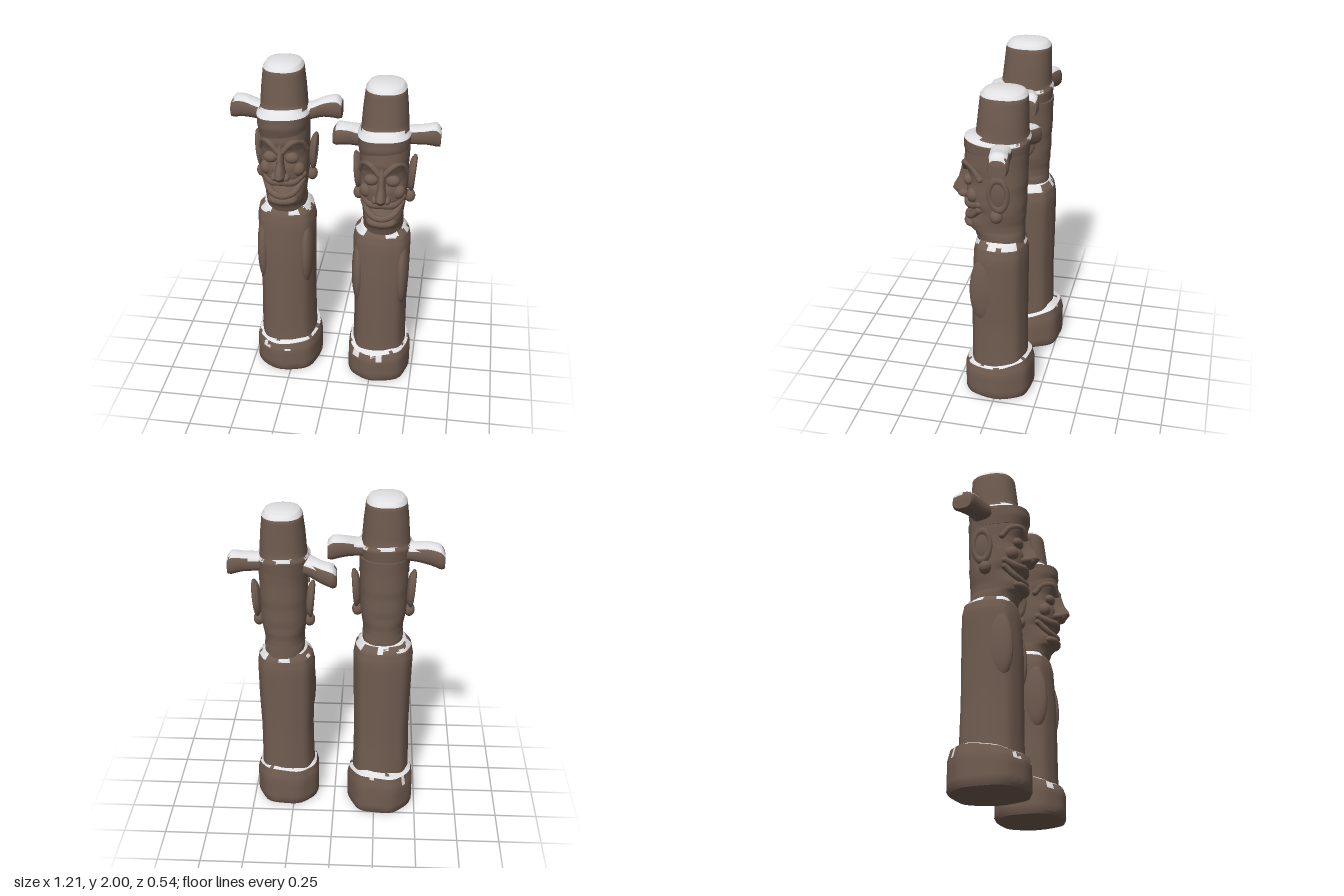
import * as THREE from 'three';
import { toCreasedNormals } from 'three/addons/utils/BufferGeometryUtils.js';

const wood = new THREE.MeshStandardMaterial({ color: 0x705c50 });
wood.name = 'brown wood';
const snow = new THREE.MeshStandardMaterial({ color: 0xe2e2e4 });
snow.name = 'white snow';

// Skin between closed rings of points, capped at both ends
function loft(rings) {
  const n = rings[0].length, pos = [], idx = [];
  rings.forEach(r => r.forEach(p => pos.push(p.x, p.y, p.z)));
  for (let i = 0; i < rings.length - 1; i++) for (let j = 0; j < n; j++) {
    const a = i * n + j, b = i * n + (j + 1) % n;
    idx.push(a, b, b + n, a, b + n, a + n);
  }
  [0, rings.length - 1].forEach((k, end) => {
    const c = new THREE.Vector3();
    rings[k].forEach(p => c.addScaledVector(p, 1 / n));
    const ci = pos.length / 3;
    pos.push(c.x, c.y, c.z);
    for (let j = 0; j < n; j++) {
      const a = k * n + j, b = k * n + (j + 1) % n;
      if (end) idx.push(ci, a, b); else idx.push(ci, b, a);
    }
  });
  const g = new THREE.BufferGeometry();
  g.setAttribute('position', new THREE.Float32BufferAttribute(pos, 3));
  g.setIndex(idx);
  return toCreasedNormals(g, 0.85);
}

const spow = (v, p) => Math.sign(v) * Math.abs(v) ** p;

// Upright column; rows are [y, half width, back z, front z], warp moves each point
function column(rows, { n = 44, sub = 4, p = 0.85, warp = () => {} } = {}) {
  const rings = [];
  rows.forEach((r, i) => {
    const next = rows[i + 1];
    for (let s = 0; s < (next ? sub : 1); s++) {
      const [y, hw, zb, zf] = r.map((v, k) => next ? v + (next[k] - v) * s / sub : v);
      rings.push(Array.from({ length: n }, (_, j) => {
        const a = j / n * Math.PI * 2;
        const q = new THREE.Vector3(hw * spow(Math.sin(a), p), y,
          (zb + zf) / 2 + (zf - zb) / 2 * spow(Math.cos(a), p));
        warp(q, a);
        return q;
      }));
    }
  });
  return loft(rings);
}

// Horizontal beam from low x to high x; rows are [x, centre y, centre z, half height, half depth]
function beam(rows) {
  const path = new THREE.CatmullRomCurve3(rows.map(r => new THREE.Vector3(r[0], r[1], r[2])));
  const size = new THREE.CatmullRomCurve3(rows.map(r => new THREE.Vector3(r[3], r[4], 0)));
  return loft(Array.from({ length: 13 }, (_, i) => {
    const c = path.getPoint(i / 12), s = size.getPoint(i / 12);
    return Array.from({ length: 20 }, (_, j) => {
      const a = j / 20 * Math.PI * 2;
      return new THREE.Vector3(c.x, c.y + s.x * spow(Math.cos(a), 0.75), c.z + s.y * spow(Math.sin(a), 0.75));
    });
  }));
}

// Upward faces become snow, with ragged patches
function snowy(g, limit, rough) {
  const P = g.attributes.position, N = g.attributes.normal, lists = [[], []];
  const v = [0, 1, 2].map(() => new THREE.Vector3()), nrm = new THREE.Vector3();
  for (let i = 0; i < P.count; i += 3) {
    v.forEach((q, k) => q.fromBufferAttribute(P, i + k));
    new THREE.Triangle(...v).getNormal(nrm);
    const { x, z } = v[0];
    const noise = Math.sin(x * 37 + z * 19 + 1) * 0.6 + Math.sin(z * 53 - x * 23) * 0.4;
    lists[nrm.y > limit + rough * noise ? 1 : 0].push(i, i + 1, i + 2);
  }
  const out = new THREE.BufferGeometry(), order = lists.flat();
  [['position', P], ['normal', N]].forEach(([name, attr]) => out.setAttribute(name,
    new THREE.Float32BufferAttribute(order.flatMap(i => [attr.getX(i), attr.getY(i), attr.getZ(i)]), 3)));
  out.addGroup(0, lists[0].length, 0);
  out.addGroup(lists[0].length, lists[1].length, 1);
  return out;
}

function add(parent, name, geometry, material = wood) {
  const m = new THREE.Mesh(geometry, material);
  m.name = name;
  parent.add(m);
  return m;
}

function blob(parent, name, at, size) {
  const m = add(parent, name, new THREE.SphereGeometry(1, 20, 14));
  m.position.set(...at);
  m.scale.set(...size);
  return m;
}

function tube(parent, name, pts, r) {
  const curve = new THREE.CatmullRomCurve3(pts.map(p => new THREE.Vector3(...p)));
  add(parent, name, new THREE.TubeGeometry(curve, 24, r, 10));
  [pts[0], pts[pts.length - 1]].forEach(p => blob(parent, name + 'End', p, [r, r, r]));
}

const mirrored = pts => [...pts, ...pts.slice(0, -1).reverse().map(([x, y, z]) => [-x, y, z])];

function buildHead() {
  const head = new THREE.Group();
  head.name = 'head';
  add(head, 'skull', column([
    [0.98, 0.115, -0.145, 0.11], [1.07, 0.118, -0.145, 0.14], [1.09, 0.115, -0.145, 0.165],
    [1.13, 0.118, -0.145, 0.175], [1.17, 0.124, -0.15, 0.155], [1.21, 0.13, -0.15, 0.135],
    [1.25, 0.135, -0.155, 0.175], [1.33, 0.137, -0.155, 0.18], [1.38, 0.137, -0.16, 0.165],
    [1.43, 0.137, -0.16, 0.17], [1.48, 0.14, -0.16, 0.193], [1.56, 0.142, -0.165, 0.185]]));
  add(head, 'nose', column([
    [1.25, 0.018, 0.14, 0.2], [1.275, 0.031, 0.14, 0.245], [1.3, 0.033, 0.14, 0.267],
    [1.325, 0.028, 0.14, 0.258], [1.37, 0.021, 0.14, 0.232], [1.44, 0.02, 0.14, 0.212],
    [1.48, 0.014, 0.14, 0.2]], { n: 20, p: 1 }));
  tube(head, 'upperLip', mirrored([[-0.112, 1.262, 0.09], [-0.065, 1.235, 0.155], [0, 1.243, 0.178]]), 0.022);
  tube(head, 'lowerLip', mirrored([[-0.108, 1.225, 0.09], [-0.065, 1.165, 0.15], [0, 1.15, 0.178]]), 0.02);
  blob(head, 'chin', [0, 1.117, 0.145], [0.088, 0.036, 0.055]);
  for (const s of [-1, 1]) {
    blob(head, 'nostril', [s * 0.034, 1.285, 0.195], [0.022, 0.022, 0.035]);
    blob(head, 'cheek', [s * 0.088, 1.31, 0.125], [0.042, 0.045, 0.04]);
    blob(head, 'eye', [s * 0.06, 1.39, 0.155], [0.042, 0.034, 0.032]);
    tube(head, 'brow', [[s * 0.015, 1.44, 0.188], [s * 0.065, 1.49, 0.175], [s * 0.108, 1.475, 0.12],
      [s * 0.128, 1.42, 0.08]], 0.018);
    // Ear with raised rim and round lobe
    const ear = new THREE.Group();
    ear.name = 'ear';
    ear.position.set(s * 0.152, 1.355, -0.03);
    ear.rotation.z = -s * 0.08;
    head.add(ear);
    blob(ear, 'earShell', [0, 0, 0], [0.022, 0.105, 0.058]);
    const rim = add(ear, 'earRim', new THREE.TorusGeometry(0.05, 0.014, 8, 28));
    rim.rotation.y = Math.PI / 2;
    rim.scale.set(1, 1.85, 1);
    rim.position.x = s * 0.01;
    blob(head, 'earLobe', [s * 0.148, 1.215, -0.015], [0.032, 0.04, 0.036]);
  }
  return head;
}

// One carved guardian post
function buildPost({ name, x, lift, back, base, body, wings }) {
  const post = new THREE.Group();
  post.name = name;
  post.position.x = x;
  const pair = [wood, snow];
  const [bw, bb, bf] = base;
  add(post, 'base', snowy(column([
    [0, bw * 0.96, bb + 0.01, bf - 0.01], [0.02, bw, bb, bf], [0.16, bw, bb, bf],
    [0.205, bw * 0.94, bb + 0.015, bf - 0.015], [0.222, bw * 0.75, bb + 0.06, bf - 0.05]],
  { warp: (q, a) => {
    if (q.y > 0.1) q.y += (q.y - 0.1) / 0.12 * (0.015 - q.z * 0.16 + 0.008 * Math.sin(3 * a));
    const k = 1 + 0.018 * Math.cos(7 * a + 1);
    q.x *= k; q.z *= k;
  } }), 0.58, 0.4), pair);
  add(post, 'robe', snowy(column(body, { p: 0.78, warp: (q, a) => {
    const k = 1 + 0.014 * Math.cos(8 * a) + 0.008 * Math.sin(3 * a + q.y * 5);
    q.x *= k; q.z *= k;
  } }), 0.6, 0.3), pair);
  for (const s of [-1, 1]) {
    const sleeve = blob(post, 'sleeve', [s * 0.128, 0.74 + lift, 0.06 + back], [0.042, 0.22, 0.09]);
    sleeve.rotation.x = -0.08;
  }
  const head = buildHead();
  head.position.set(0.005, lift, back);
  post.add(head);
  // Tall hat with a sloping brim
  const hat = add(post, 'hat', snowy(column([
    [1.51, 0.138, -0.16, 0.175], [1.57, 0.146, -0.168, 0.192], [1.625, 0.15, -0.175, 0.19],
    [1.645, 0.136, -0.165, 0.145], [1.66, 0.133, -0.162, 0.125], [1.77, 0.125, -0.16, 0.112],
    [1.875, 0.113, -0.158, 0.1], [1.898, 0.098, -0.14, 0.082], [1.91, 0.06, -0.095, 0.04]],
  { warp: (q, a) => { if (q.y < 1.67) q.y += 0.008 * Math.sin(2 * a + 1); } }), 0.45, 0.12), pair);
  hat.position.set(0, lift, back * 0.5);
  wings.forEach(rows => add(post, 'hatWing', snowy(beam(rows), 0.5, 0.12), pair));
  return post;
}

export function createModel() {
  const model = new THREE.Group();
  model.name = 'guardianPosts';
  model.add(buildPost({
    name: 'tallPost', x: -0.285, lift: 0.09, back: -0.025, base: [0.2, -0.27, 0.18],
    body: [[0.14, 0.172, -0.21, 0.14], [0.28, 0.168, -0.21, 0.135], [0.5, 0.163, -0.205, 0.135],
      [0.8, 0.168, -0.208, 0.135], [1.03, 0.172, -0.21, 0.12], [1.09, 0.16, -0.2, 0.108],
      [1.125, 0.128, -0.175, 0.09], [1.14, 0.1, -0.14, 0.06]],
    wings: [
      [[-0.325, 1.655, -0.12, 0.045, 0.055], [-0.3, 1.672, -0.12, 0.066, 0.065], [-0.24, 1.683, -0.1, 0.062, 0.062],
        [-0.16, 1.68, -0.07, 0.05, 0.065], [-0.05, 1.68, -0.05, 0.045, 0.07]],
      [[0.05, 1.69, -0.04, 0.045, 0.07], [0.15, 1.697, -0.055, 0.045, 0.065], [0.22, 1.71, -0.085, 0.055, 0.06],
        [0.29, 1.708, -0.1, 0.066, 0.06], [0.32, 1.695, -0.1, 0.05, 0.05]]],
  }));
  model.add(buildPost({
    name: 'shortPost', x: 0.29, lift: 0, back: 0, base: [0.19, -0.2, 0.21],
    body: [[0.14, 0.165, -0.165, 0.165], [0.28, 0.158, -0.162, 0.162], [0.5, 0.156, -0.16, 0.162],
      [0.7, 0.164, -0.16, 0.16], [0.94, 0.167, -0.16, 0.145], [0.995, 0.156, -0.152, 0.132],
      [1.03, 0.125, -0.135, 0.11], [1.045, 0.1, -0.11, 0.07]],
    wings: [
      [[-0.305, 1.525, -0.11, 0.045, 0.055], [-0.28, 1.538, -0.11, 0.064, 0.07], [-0.22, 1.55, -0.09, 0.06, 0.065],
        [-0.14, 1.57, -0.04, 0.052, 0.08], [-0.03, 1.59, -0.02, 0.045, 0.08]],
      [[0.04, 1.59, -0.03, 0.045, 0.07], [0.14, 1.59, -0.04, 0.05, 0.06], [0.22, 1.592, -0.05, 0.054, 0.058],
        [0.285, 1.59, -0.06, 0.066, 0.058], [0.312, 1.575, -0.06, 0.05, 0.048]]],
  }));
  return model;
}
